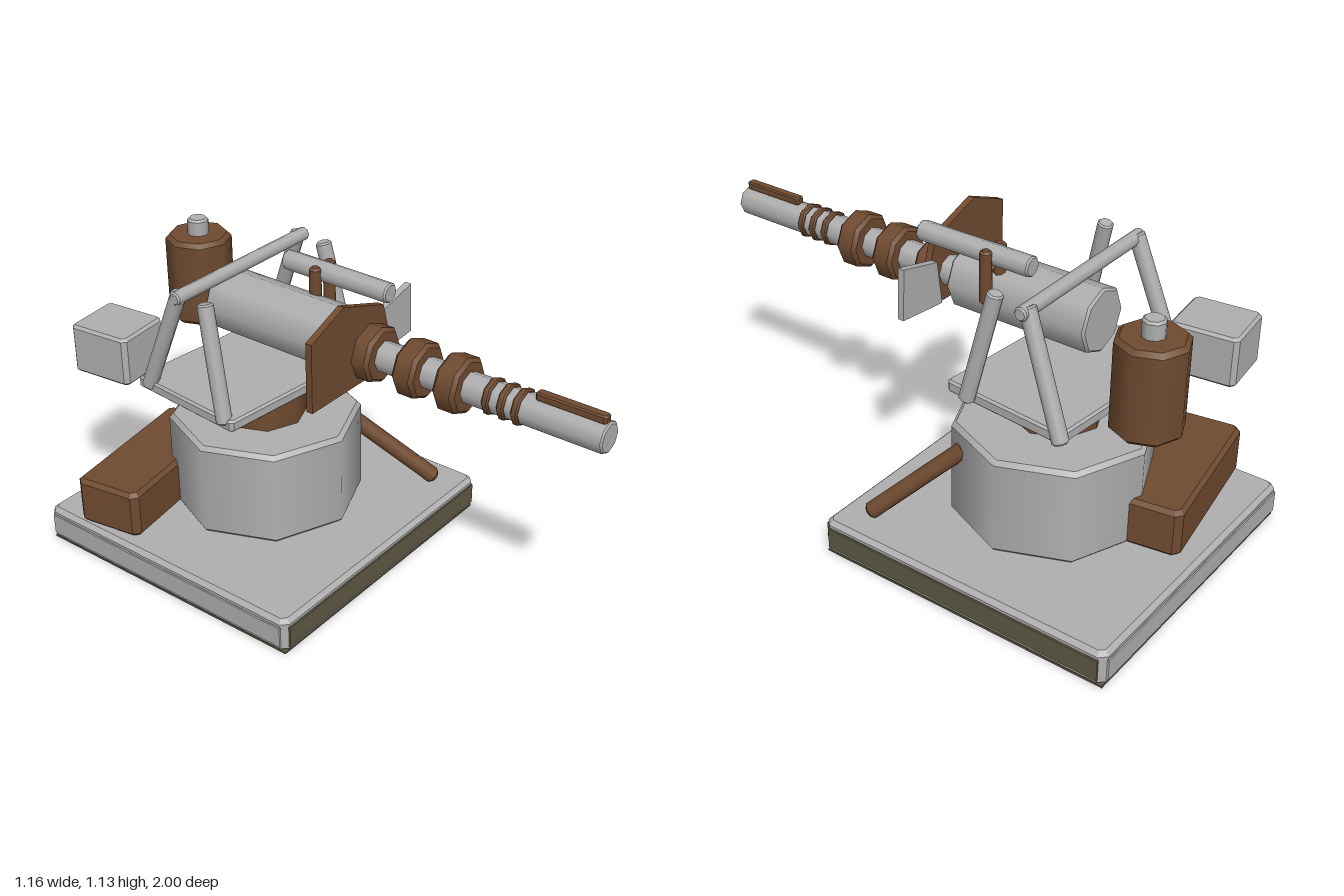
import * as THREE from 'three';
import { mergeGeometries } from 'three/addons/utils/BufferGeometryUtils.js';

const mat = (name, color, flatShading = false) => {
  const m = new THREE.MeshStandardMaterial({ color, flatShading });
  m.name = name;
  return m;
};

export function createModel() {
  const root = new THREE.Group();
  const grey = mat('grey metal', 0xb0b0b0);
  const brown = mat('brown paint', 0x704b30);
  const olive = mat('olive panel', 0x5f5945);

  const add = (name, geo, material, x = 0, y = 0, z = 0, parent = root) => {
    const mesh = new THREE.Mesh(geo, material);
    mesh.name = name;
    mesh.position.set(x, y, z);
    parent.add(mesh);
    return mesh;
  };

  // Box centred on its middle with every edge chamfered by c
  const chamferBox = (w, h, d, c) => {
    const a = w / 2 - c, b = d / 2 - c;
    const pts = [[a, -b + c], [a, b - c], [a - c, b], [c - a, b], [-a, b - c], [-a, c - b], [c - a, -b], [a - c, -b]];
    const shape = new THREE.Shape(pts.map(p => new THREE.Vector2(...p)));
    return new THREE.ExtrudeGeometry(shape, {
      depth: h - 2 * c, bevelEnabled: true, bevelThickness: c, bevelSize: c, bevelSegments: 1,
    }).translate(0, 0, c - h / 2).rotateX(-Math.PI / 2);
  };

  // Faceted cylinder with chamfered rims, centred on its middle
  const drum = (r, h, c, sides = 8) => {
    const ring = (top, bottom, height, y) =>
      new THREE.CylinderGeometry(top, bottom, height, sides, 1, true).translate(0, y, 0);
    const cap = s => new THREE.CircleGeometry(r - c, sides, Math.PI / 2)
      .rotateX(-s * Math.PI / 2).translate(0, s * h / 2, 0);
    return mergeGeometries([
      ring(r, r, h - 2 * c, 0),
      ring(r - c, r, c, (h - c) / 2),
      ring(r, r - c, c, (c - h) / 2),
      cap(1), cap(-1),
    ]);
  };

  // Round bar between two points
  const rod = (name, a, b, r, material, c = 0.006) => {
    const p = new THREE.Vector3(...a), q = new THREE.Vector3(...b);
    const mesh = add(name, drum(r, p.distanceTo(q), c), material);
    mesh.position.copy(p).lerp(q, 0.5);
    mesh.quaternion.setFromUnitVectors(new THREE.Vector3(0, 1, 0), q.sub(p).normalize());
    return mesh;
  };

  // Flat plate cut from an outline in the front plane
  const plate = (name, pts, depth, z, material) => {
    const shape = new THREE.Shape(pts.map(p => new THREE.Vector2(...p)));
    return add(name, new THREE.ExtrudeGeometry(shape, { depth, bevelEnabled: false }), material, 0, 0, z);
  };

  // Base slab with a panel on each side and underneath
  const bz = -0.418;
  add('baseSlab', chamferBox(1.156, 0.135, 1.156, 0.016), grey, 0, 0.0715, bz);
  add('bottomPanel', new THREE.BoxGeometry(1.14, 0.008, 1.14), olive, 0, 0.004, bz);
  [['frontPanel', olive], ['rightPanel', olive], ['backPanel', grey], ['leftPanel', grey]].forEach(([name, m], i) => {
    const angle = i * Math.PI / 2;
    const panel = add(name, chamferBox(1.12, 0.085, 0.009, 0.003), m,
      Math.sin(angle) * 0.578, 0.07, bz + Math.cos(angle) * 0.578);
    panel.rotation.y = angle;
  });

  // Pedestal and turning neck
  add('pedestal', drum(0.357, 0.37, 0.016), grey, 0.013, 0.322, -0.414);
  add('neck', drum(0.162, 0.14, 0.015), brown, -0.002, 0.56, -0.41);

  // Supply box and lever beside the pedestal
  add('supplyBox', chamferBox(0.61, 0.185, 0.265, 0.015), brown, -0.25, 0.232, -0.755).rotation.y = 0.16;
  rod('lever', [0.262, 0.43, -0.225], [0.462, 0.15, 0.05], 0.032, brown, 0.012);

  // Cradle plate, four leaning posts and the cross bar
  add('cradlePlate', chamferBox(0.68, 0.045, 0.49, 0.008), grey, -0.018, 0.672, -0.44).rotation.y = -0.09;
  const posts = [
    ['frontPost', [-0.365, 0.67, -0.27], [-0.33, 1.085, -0.365]],
    ['frontPost', [0.325, 0.67, -0.27], [0.302, 1.085, -0.365]],
    ['backPost', [-0.33, 0.67, -0.66], [-0.322, 1.085, -0.49]],
    ['backPost', [0.353, 0.67, -0.66], [0.31, 1.085, -0.49]],
  ];
  posts.forEach(([name, a, b]) => rod(name, a, b, 0.029, grey));
  rod('crossBar', [-0.35, 1.07, -0.49], [0.35, 1.07, -0.49], 0.025, grey);

  // Barrel, receiver and collars
  const ay = 0.912;
  rod('receiver', [0, 0.922, -0.575], [0, 0.922, -0.025], 0.117, grey, 0.008);
  rod('barrel', [0, ay, -0.1], [0, ay, 1], 0.056, grey);
  [0.44, 0.277, 0.095].forEach(z =>
    rod('barrelCollar', [0, ay, z - 0.043], [0, ay, z + 0.043], 0.103, brown, 0.013));
  [0.688, 0.635, 0.578].forEach(z =>
    rod('barrelRing', [0, ay, z - 0.013], [0, ay, z + 0.013], 0.065, brown, 0.005));
  add('sightRail', chamferBox(0.036, 0.03, 0.255, 0.005), brown, 0, 0.975, 0.863);

  // Shields either side of the barrel
  plate('largeShield',
    [[-0.31, 0.807], [0.07, 0.807], [0.105, 0.96], [0.078, 1.055], [-0.14, 1.13], [-0.31, 1.062]], 0.025, 0.05, brown);
  plate('smallShield', [[0.09, 0.832], [0.297, 0.853], [0.29, 1.04], [0.115, 0.997]], 0.025, 0.012, grey);

  // Scope tube on two stubs
  rod('scope', [0.1, 1.091, -0.365], [0.1, 1.091, 0.088], 0.037, grey);
  [0.061, 0.139].forEach(x => rod('scopeStub', [x, 0.925, -0.207], [x, 1.118, -0.207], 0.022, brown, 0.008));

  // Canister and box at the rear
  add('canister', drum(0.124, 0.335, 0.016), brown, 0.16, 0.872, -0.85);
  add('canisterCap', drum(0.04, 0.07, 0.008), grey, 0.16, 1.066, -0.85);
  add('rearBox', chamferBox(0.222, 0.185, 0.245, 0.01), grey, -0.32, 0.783, -0.815).rotation.y = 0.11;

  return root;
}
